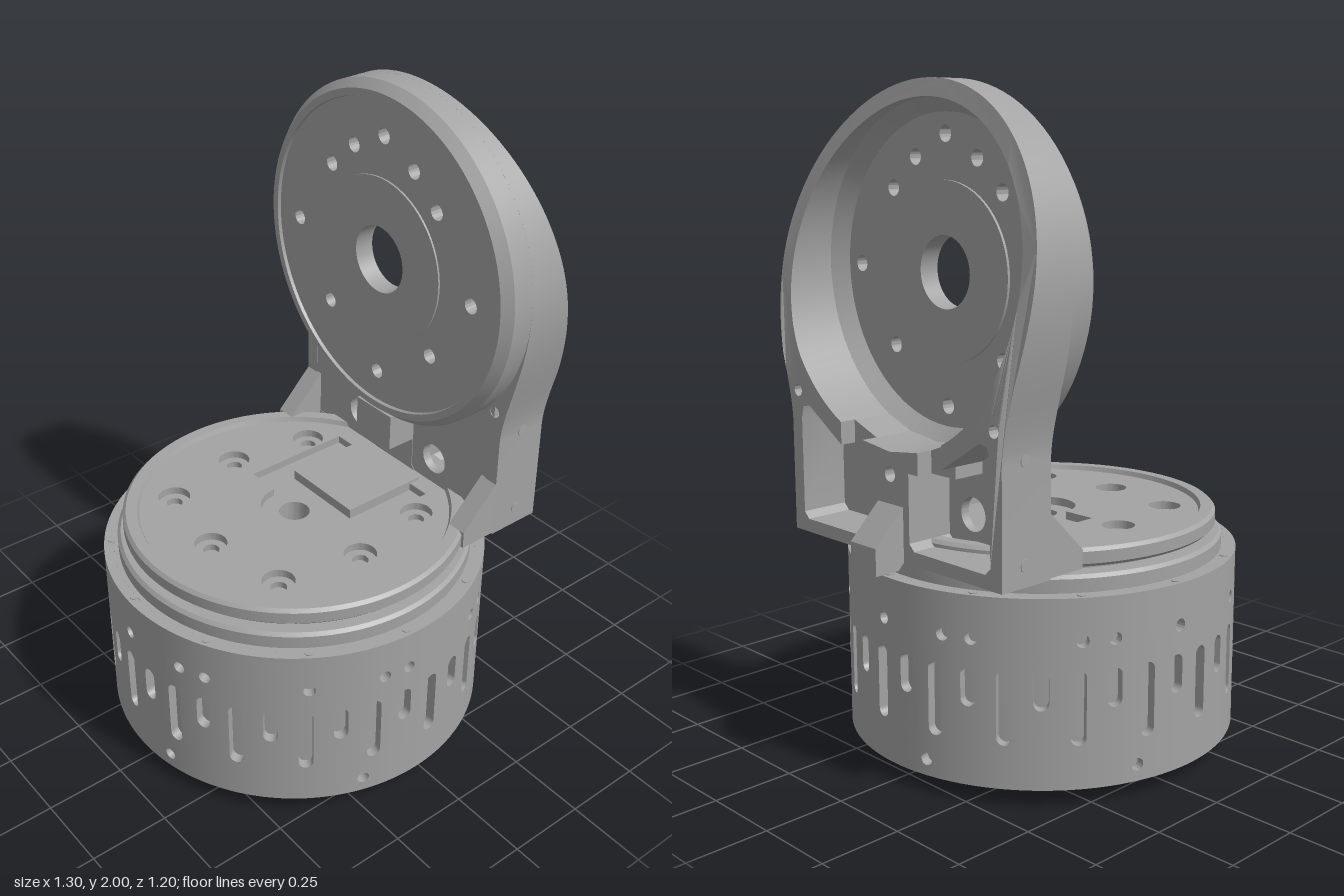
import * as THREE from 'three';
import { mergeGeometries, toCreasedNormals } from 'three/addons/utils/BufferGeometryUtils.js';

const grey = new THREE.MeshStandardMaterial({ color: 0xa3a3a3 });
grey.name = 'grey metal';

const AXIS_X = -0.05;          // vertical axis of the base
const CUP_Y = 1.465;           // height of the cup's horizontal axis
const rad = THREE.MathUtils.degToRad;

function add(parent, name, geo) {
  const mesh = new THREE.Mesh(geo, grey);
  mesh.name = name;
  parent.add(mesh);
  return mesh;
}
const poly = pts => new THREE.Shape(pts.map(p => new THREE.Vector2(p[0], p[1])));
const circle = (x, y, r) => new THREE.Shape().absarc(x, y, r, 0, Math.PI * 2, false);
const rect = (x, y, w, h) => poly([[x - w / 2, y - h / 2], [x + w / 2, y - h / 2], [x + w / 2, y + h / 2], [x - w / 2, y + h / 2]]);
function extrude(shape, holes, depth, seg = 32) {
  shape.holes.push(...holes);
  return new THREE.ExtrudeGeometry(shape, { depth, bevelEnabled: false, curveSegments: seg });
}
const crease = geo => toCreasedNormals(geo, 0.5);
// lay an extrusion flat, rising from height y
const flat = (shape, holes, y0, y1, seg) => crease(extrude(shape, holes, y1 - y0, seg)).rotateX(-Math.PI / 2).translate(0, y0, 0);
// stand an extrusion up, running along x
const along = (shape, holes, x0, x1, seg) => crease(extrude(shape, holes, x1 - x0, seg)).rotateY(Math.PI / 2).translate(x0, 0, 0);
const lathe = pts => crease(new THREE.LatheGeometry([...pts, pts[0]].map(p => new THREE.Vector2(p[0], p[1])), 96));

// vertical slot with round ends
function slot(y0, y1, r) {
  const s = new THREE.Shape();
  s.absarc(0, y1 - r, r, 0, Math.PI, false);
  s.absarc(0, y0 + r, r, Math.PI, Math.PI * 2, false);
  return s;
}

// perforated sleeve: 36 flat panels bent round the axis
function sleeve() {
  const R = 0.6, panels = [];
  const upper = [34, 107.5, 155, 214, 287.5, 348];
  const lower = [];
  for (let k = 0; k < 12; k++) upper.push(26 + 30 * k);
  for (let k = 0; k < 6; k++) lower.push(42 + 60 * k);
  for (let i = 0; i < 36; i++) {
    const mid = 5 + 10 * i, half = R * rad(5), edge = [];
    for (let k = 0; k <= 4; k++) edge.push([-half + half * k / 2, 0.05]);
    for (let k = 4; k >= 0; k--) edge.push([-half + half * k / 2, 0.61]);
    const holes = [slot(i % 2 ? 0.285 : 0.18, 0.4, 0.022)];
    const drill = (list, y) => list.forEach(a => {
      const d = (((a - mid) % 360) + 540) % 360 - 180;
      if (Math.abs(d) < 5) holes.push(circle(R * rad(d), y, 0.019));
    });
    drill(upper, 0.485);
    drill(lower, 0.1);
    const g = extrude(poly(edge), holes, 0.03, 8);
    const p = g.attributes.position, n = g.attributes.normal;
    const v = new THREE.Vector3(), up = new THREE.Vector3(0, 1, 0);
    for (let j = 0; j < p.count; j++) {
      const az = p.getX(j) / R + rad(mid), r = 0.57 + p.getZ(j);
      p.setXYZ(j, r * Math.sin(az), p.getY(j), r * Math.cos(az));
      v.fromBufferAttribute(n, j).applyAxisAngle(up, az);
      n.setXYZ(j, v.x, v.y, v.z);
    }
    panels.push(g);
  }
  return mergeGeometries(panels);
}

function buildBase() {
  const base = new THREE.Group();
  base.name = 'base';
  add(base, 'slottedSleeve', sleeve());
  add(base, 'baseCore', lathe([[0.048, 0.05], [0.57, 0.05], [0.57, 0.61], [0.555, 0.61], [0.555, 0.65],
    [0.545, 0.66], [0.49, 0.66], [0.49, 0.67], [0.048, 0.67]]));
  add(base, 'bottomHub', lathe([[0.05, 0.05], [0.07, 0.035], [0.1, 0.035], [0.1, 0.05]]));
  // screws in the ledge
  for (let k = 0; k < 12; k++) {
    const a = rad(26 + 30 * k);
    add(base, 'ledgeScrew', new THREE.CylinderGeometry(0.013, 0.013, 0.004, 16))
      .position.set(0.577 * Math.sin(a), 0.611, 0.577 * Math.cos(a));
  }
  // connectors under the base
  const big = add(base, 'largeConnector', flat(rect(0, 0, 0.38, 0.14), [rect(-0.09, 0, 0.14, 0.09), rect(0.09, 0, 0.14, 0.09)], 0, 0.05));
  big.position.set(0.3075, 0, 0.34);
  big.rotation.y = Math.PI / 4;
  const small = add(base, 'smallConnector', flat(rect(0, 0, 0.17, 0.1), [rect(0, 0, 0.13, 0.06)], 0.04, 0.05));
  small.position.set(0.32, 0, -0.11);
  small.rotation.y = -Math.PI / 4;
  // fan-shaped covers under the base
  for (const a of [104.5, 196.5]) {
    const s = new THREE.Shape();
    s.absarc(0, 0, 0.5, rad(a - 24), rad(a + 24), false);
    s.absarc(0, 0, 0.17, rad(a + 24), rad(a - 24), true);
    add(base, 'bottomCover', flat(s, [], 0.046, 0.05));
  }
  return base;
}

function buildTurntable() {
  const t = new THREE.Group();
  t.name = 'turntable';
  add(t, 'turntableRim', lathe([[0.47, 0.675], [0.525, 0.675], [0.535, 0.685], [0.535, 0.72], [0.525, 0.73],
    [0.49, 0.73], [0.483, 0.712], [0.47, 0.712]]));
  const spots = [[0, 0.32], [0, -0.32], [-0.32, 0], [0.27, 0.27], [0.27, -0.27], [-0.27, 0.27], [-0.27, -0.27]];
  // pocket joined to the round centre recess
  const pocket = new THREE.Shape();
  pocket.absarc(0, 0, 0.105, Math.PI / 2, Math.PI * 1.5, false);
  [[0, -0.215], [0.36, -0.215], [0.36, 0.215], [0, 0.215]].forEach(p => pocket.lineTo(p[0], p[1]));
  add(t, 'turntableTop', flat(circle(0, 0, 0.484), [pocket, ...spots.map(p => circle(p[0], p[1], 0.05))], 0.69, 0.715));
  add(t, 'turntableFloor', flat(circle(0, 0, 0.484), [circle(0, 0, 0.048), ...spots.map(p => circle(p[0], p[1], 0.025))], 0.67, 0.69));
  add(t, 'pocketBoss', flat(rect(0.255, 0, 0.29, 0.28), [], 0.69, 0.722));
  return t;
}

function buildBracket() {
  const b = new THREE.Group();
  b.name = 'bracket';

  // rim and lower plate share one outline
  const outline = new THREE.Shape();
  outline.moveTo(-0.455, 0.67);
  outline.lineTo(0.455, 0.67);
  outline.lineTo(0.455, 1.0);
  outline.bezierCurveTo(0.455, 1.12, 0.535, 1.27, 0.535, CUP_Y);
  outline.absarc(0, CUP_Y, 0.535, 0, Math.PI, false);
  outline.bezierCurveTo(-0.535, 1.27, -0.455, 1.12, -0.455, 1.0);
  // cup opening runs into two pockets through narrow notches
  const opening = new THREE.Shape();
  const a = Math.atan2(-0.432, 0.22);
  opening.absarc(0, CUP_Y, 0.485, a, Math.PI - a, false);
  const side = [[0.22, 0.965], [0.37, 1.06], [0.4, 1.055], [0.41, 1.02], [0.41, 0.73], [0.39, 0.71], [0.1, 0.71],
    [0.08, 0.73], [0.08, 0.93], [0.12, 0.93], [0.12, 0.995]];
  side.forEach(p => opening.lineTo(-p[0], p[1]));
  opening.lineTo(0, 0.98);
  [...side].reverse().forEach(p => opening.lineTo(p[0], p[1]));
  const screws = [circle(0, 0.915, 0.022), circle(0.425, 1.1, 0.018), circle(-0.425, 1.1, 0.018)];
  const rim = extrude(outline, [opening, ...screws], 0.18, 40);
  // sweep the front edge backwards towards the top
  const p = rim.attributes.position;
  for (let i = 0; i < p.count; i++) {
    if (p.getZ(i) > 0.1) p.setZ(i, 0.18 - 0.212 * Math.pow(Math.max(0, p.getY(i) - 1.2), 1.32));
  }
  add(b, 'bracketRim', crease(rim).rotateY(Math.PI / 2).translate(0.37, 0, 0));

  // floor of the pockets, with two cable holes
  const back = [[-0.44, 0.68], [0.44, 0.68]];
  for (let k = 0; k <= 16; k++) {
    const z = 0.42 - 0.0525 * k;
    back.push([z, CUP_Y - Math.sqrt(0.26 - z * z)]);
  }
  add(b, 'pocketFloor', along(poly(back), [circle(0.18, 0.805, 0.05), circle(-0.18, 0.805, 0.05)], 0.372, 0.4));

  // cup: outer ring, drilled floor and hub
  add(b, 'cupRing', lathe([[0.435, 0.28], [0.485, 0.28], [0.488, 0.27], [0.51, 0.27], [0.535, 0.3], [0.535, 0.372],
    [0.485, 0.372], [0.445, 0.33], [0.435, 0.33]]).rotateZ(-Math.PI / 2).translate(0, CUP_Y, 0));
  const holes = [circle(0, CUP_Y, 0.25), circle(0.13, 1.785, 0.024), circle(-0.13, 1.785, 0.024)];
  for (let k = 0; k < 8; k++) {
    const r = k % 2 ? 0.325 : 0.385, t = k * Math.PI / 4;
    holes.push(circle(r * Math.cos(t), CUP_Y + r * Math.sin(t), 0.024));
  }
  add(b, 'cupFloor', along(circle(0, CUP_Y, 0.437), holes, 0.28, 0.33));
  add(b, 'cupHub', along(circle(0, CUP_Y, 0.258), [circle(0, CUP_Y, 0.105)], 0.274, 0.338));

  // block beneath the cup and wedge stop on the outside
  add(b, 'cupSupport', new THREE.BoxGeometry(0.1, 0.12, 0.16)).position.set(0.321, 0.89, 0);
  const wedge = extrude(poly([[0.54, 0.68], [0.57, 0.65], [0.65, 0.65], [0.65, 0.73], [0.55, 0.83], [0.54, 0.83]]), [], 0.11);
  add(b, 'wedgeStop', wedge).position.z = -0.055;

  for (const s of [1, -1]) {
    add(b, 'notchFloor', along(poly([[0.12 * s, 0.93], [0.22 * s, 0.93], [0.22 * s, 1.033], [0.12 * s, 0.995]]), [], 0.372, 0.5));
    const gusset = extrude(poly([[0.245, 0.675], [0.375, 0.675], [0.375, 0.86], [0.245, 0.73]]), [], 0.065);
    add(b, 'gusset', gusset).position.z = s > 0 ? 0.39 : -0.455;
    for (const y of [0.73, 1.015]) {
      const screw = add(b, 'sideScrew', new THREE.CylinderGeometry(0.018, 0.018, 0.006, 16));
      screw.rotation.x = Math.PI / 2;
      screw.position.set(0.465, y, 0.455 * s);
    }
  }
  return b;
}

export function createModel() {
  const model = new THREE.Group();
  model.name = 'jointHousing';
  const base = buildBase(), table = buildTurntable();
  base.position.x = table.position.x = AXIS_X;
  model.add(base, table, buildBracket());
  return model;
}
